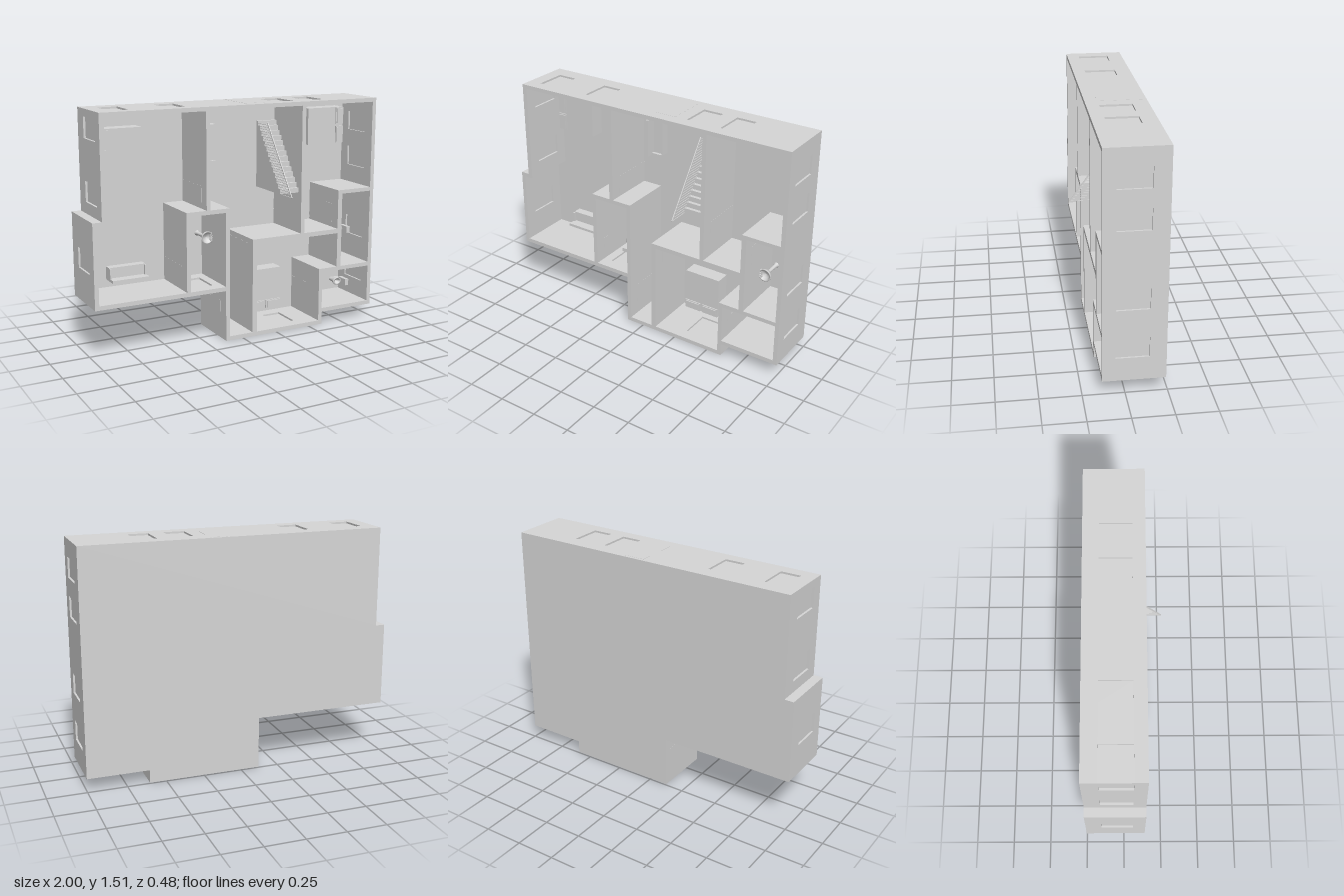
import * as THREE from 'three';

const FLOOR = -0.22, BACK = -0.241, TOP = 0.134;
const plaster = new THREE.MeshStandardMaterial({ color: 0xd6d6d6 });
plaster.name = 'plasterGrey';

// Plan contours in x, y (outline counter-clockwise, rooms clockwise); the walls rise along z
const OUTLINE = [[-0.94, 0.872], [-1, 0.872], [-1, 0.335], [-0.123, 0.335], [-0.123, 0], [0.604, 0],
  [0.604, 0.084], [1, 0.084], [1, 1.513], [-0.94, 1.513]];
const ROOMS = [
  [[-0.909, 1.487], [-0.257, 1.487], [-0.257, 0.872], [-0.396, 0.872], [-0.396, 0.362],
    [-0.973, 0.362], [-0.973, 0.845], [-0.909, 0.845]],
  [[-0.369, 0.845], [-0.123, 0.845], [-0.123, 0.362], [-0.369, 0.362]],
  [[-0.23, 1.487], [0.428, 1.487], [0.428, 0.65], [0.07, 0.65], [0.07, 0.027], [-0.096, 0.027],
    [-0.096, 0.872], [-0.23, 0.872]],
  [[0.455, 1.487], [0.973, 1.487], [0.973, 0.912], [0.717, 0.912], [0.717, 0.65], [0.455, 0.65]],
  [[0.749, 0.887], [0.973, 0.887], [0.973, 0.388], [0.749, 0.388]],
  [[0.102, 0.62], [0.717, 0.62], [0.717, 0.388], [0.578, 0.388], [0.578, 0.027], [0.102, 0.027]],
  [[0.604, 0.362], [0.973, 0.362], [0.973, 0.111], [0.604, 0.111]],
];

// Windows: axis of the wall normal (0 = x, 1 = y), both wall faces, span along the wall
const WINDOWS = [
  [0, 1, 0.973, 1.275, 1.4], [0, 1, 0.973, 1.03, 1.16], [0, 1, 0.973, 0.543, 0.673], [0, 1, 0.973, 0.233, 0.361],
  [0, -0.94, -0.909, 1.335, 1.465], [0, -0.94, -0.909, 0.945, 1.075], [0, -1, -0.973, 0.54, 0.67],
  [1, 1.513, 1.487, -0.853, -0.724], [1, 1.513, 1.487, -0.485, -0.355],
  [1, 1.513, 1.487, 0.27, 0.402], [1, 1.513, 1.487, 0.5, 0.629],
  [1, 0, 0.027, 0.3, 0.43], [1, 0.335, 0.362, -0.31, -0.18],
];

// Adds a shallow notch to a contour wherever a window lies on one of its edges
function notched(points) {
  const out = [];
  points.forEach((p, i) => {
    const q = points[(i + 1) % points.length];
    out.push(p);
    const n = p[0] === q[0] ? 0 : 1, t = 1 - n;
    const lo = Math.min(p[t], q[t]), hi = Math.max(p[t], q[t]), up = q[t] > p[t];
    WINDOWS.filter(([axis, f, g, a, b]) => axis === n && (f === p[n] || g === p[n]) && a > lo && b < hi)
      .sort((u, v) => (up ? u[3] - v[3] : v[3] - u[3]))
      .forEach(([, f, g, a, b]) => {
        const deep = p[n] + (p[n] === f ? g - f : f - g) * 0.45;
        const [s, e] = up ? [a, b] : [b, a];
        [[p[n], s], [deep, s], [deep, e], [p[n], e]].forEach(([c, d]) => out.push(n === 0 ? [c, d] : [d, c]));
      });
  });
  return out;
}

function slab(parent, name, z0, z1, rooms, cut) {
  const vec = (pts) => (cut ? notched(pts) : pts).map(([x, y]) => new THREE.Vector2(x, y));
  const shape = new THREE.Shape(vec(OUTLINE));
  rooms.forEach((r) => shape.holes.push(new THREE.Path(vec(r))));
  const geo = new THREE.ExtrudeGeometry(shape, { depth: z1 - z0, bevelEnabled: false });
  geo.translate(0, 0, z0);
  add(parent, name, geo);
}

function add(parent, name, geo) {
  const mesh = new THREE.Mesh(geo, plaster);
  mesh.name = name;
  parent.add(mesh);
  return mesh;
}

// Box given by its limits on each axis
function box(parent, name, x0, x1, y0, y1, z0, z1) {
  const mesh = add(parent, name, new THREE.BoxGeometry(x1 - x0, y1 - y0, z1 - z0));
  mesh.position.set((x0 + x1) / 2, (y0 + y1) / 2, (z0 + z1) / 2);
  return mesh;
}

// Group standing on the floor, turned about z
function place(parent, name, x, y, turn) {
  const g = new THREE.Group();
  g.name = name;
  g.position.set(x, y, FLOOR);
  g.rotation.z = turn;
  parent.add(g);
  return g;
}

// Bed with its head towards local -y
function bed(parent, x, y, turn, w, l) {
  const g = place(parent, 'bed', x, y, turn);
  box(g, 'mattress', -w / 2, w / 2, -l / 2, l / 2, 0, 0.1);
  for (const s of [-1, 1]) {
    const c = s * w * 0.26;
    box(g, 'pillow', c - w * 0.23, c + w * 0.23, -l / 2 + 0.001, -l / 2 + 0.059, 0.1, 0.108);
    box(g, 'pillowTop', c - w * 0.2, c + w * 0.2, -l / 2 + 0.007, -l / 2 + 0.053, 0.108, 0.115);
  }
}

// Sofa with its back towards local -y
function sofa(parent, x, y, turn) {
  const g = place(parent, 'sofa', x, y, turn);
  box(g, 'seat', -0.123, 0.123, -0.03, 0.043, 0, 0.055);
  box(g, 'backrest', -0.123, 0.123, -0.043, -0.025, 0, 0.12);
  for (const s of [-1, 1]) box(g, 'armrest', s * 0.118 - 0.005, s * 0.118 + 0.005, -0.03, 0.04, 0, 0.075);
}

function lathe(parent, name, profile, y, stretch) {
  const geo = new THREE.LatheGeometry(profile.map(([r, h]) => new THREE.Vector2(r, h)), 24);
  geo.rotateX(Math.PI / 2).scale(1, stretch, 1).translate(0, y, 0);
  add(parent, name, geo);
}

// Toilet with the cistern against the wall at local y = 0
function toilet(parent, x, y, turn) {
  const g = place(parent, 'toilet', x, y, turn);
  box(g, 'cistern', -0.022, 0.022, 0, 0.026, 0.04, 0.13);
  box(g, 'foot', -0.013, 0.013, 0.01, 0.055, 0, 0.05);
  lathe(g, 'bowl', [[0.014, 0], [0.015, 0.03], [0.026, 0.07], [0.026, 0.078], [0.018, 0.078],
    [0.012, 0.055], [0, 0.05]], 0.06, 1.25);
}

// Pedestal basin with the tap towards the wall at local y = 0
function basin(parent, x, y, turn) {
  const g = place(parent, 'basin', x, y, turn);
  lathe(g, 'bowlAndPedestal', [[0.018, 0], [0.012, 0.02], [0.012, 0.11], [0.03, 0.125], [0.042, 0.15],
    [0.042, 0.157], [0.034, 0.157], [0.024, 0.138], [0, 0.132]], 0.033, 1);
  box(g, 'ledge', -0.03, 0.03, 0, 0.012, 0.14, 0.157);
  box(g, 'tap', -0.003, 0.003, 0.004, 0.028, 0.165, 0.17);
  for (const s of [-1, 0, 1]) box(g, 'tapStem', s * 0.014 - 0.003, s * 0.014 + 0.003, 0.003, 0.009, 0.157, 0.17);
}

// Staircase falling towards +y, with a railing on its open side
function stairs(parent) {
  const g = new THREE.Group();
  g.name = 'staircase';
  parent.add(g);
  const n = 14, y0 = 0.918, run = 0.444 / n, rise = 0.315 / n, x = 0.289;
  for (let i = 0; i < n; i++) {
    const y = y0 + i * run, z = FLOOR + (n - i) * rise;
    box(g, 'step', x, 0.428, y, y + run, FLOOR, z);
    for (const h of [0, 0.5]) {
      box(g, 'baluster', x, x + 0.004, y + h * run, y + h * run + 0.003, z, 0.238 - (i + h) * rise);
    }
  }
  const rail = box(g, 'handrail', x, x + 0.006, -0.272, 0.272, -0.004, 0.004);
  rail.position.set(x + 0.003, y0 + 0.222, 0.239 - 0.1575);
  rail.rotation.x = -Math.atan2(0.315, 0.444);
}

export function createModel() {
  const model = new THREE.Group();
  model.name = 'apartment';

  // Floor and walls, with the recessed windows in the middle band
  slab(model, 'floor', BACK, FLOOR, [], false);
  slab(model, 'lowerWalls', FLOOR, -0.142, ROOMS, false);
  slab(model, 'windowWalls', -0.142, 0.056, ROOMS, true);
  slab(model, 'upperWalls', 0.056, TOP, ROOMS, false);

  // Flush doors through the walls
  const p = 0.0008;
  [[-0.257, -0.23, 0.88, 1.015], [0.07, 0.102, 0.485, 0.615], [0.428, 0.455, 0.754, 0.888],
    [0.578, 0.604, 0.12, 0.255], [-0.123, -0.096, 0.115, 0.25], [-0.396, -0.369, 0.385, 0.52],
    [0.717, 0.749, 0.68, 0.81]].forEach(([x0, x1, y0, y1]) =>
    box(model, 'door', x0 - p, x1 + p, y0, y1, FLOOR, 0.058));
  box(model, 'frontDoor', 0.05, 0.19, 1.487 - p, 1.513 + p, FLOOR, 0.058);

  // Furniture
  const H = Math.PI / 2;
  bed(model, -0.714, 1.263, -H, 0.241, 0.274);
  bed(model, 0.77, 1.312, H, 0.246, 0.278);
  bed(model, 0.302, 0.223, 0, 0.252, 0.279);
  sofa(model, -0.674, 0.457, 0);
  sofa(model, -0.091, 1.244, -H);
  stairs(model);

  // Bathrooms
  toilet(model, -0.303, 0.362, 0);
  toilet(model, 0.973, 0.57, H);
  toilet(model, 0.973, 0.185, H);
  basin(model, -0.123, 0.645, H);
  basin(model, 0.749, 0.556, -H);
  basin(model, 0.674, 0.362, 2 * H);
  return model;
}
